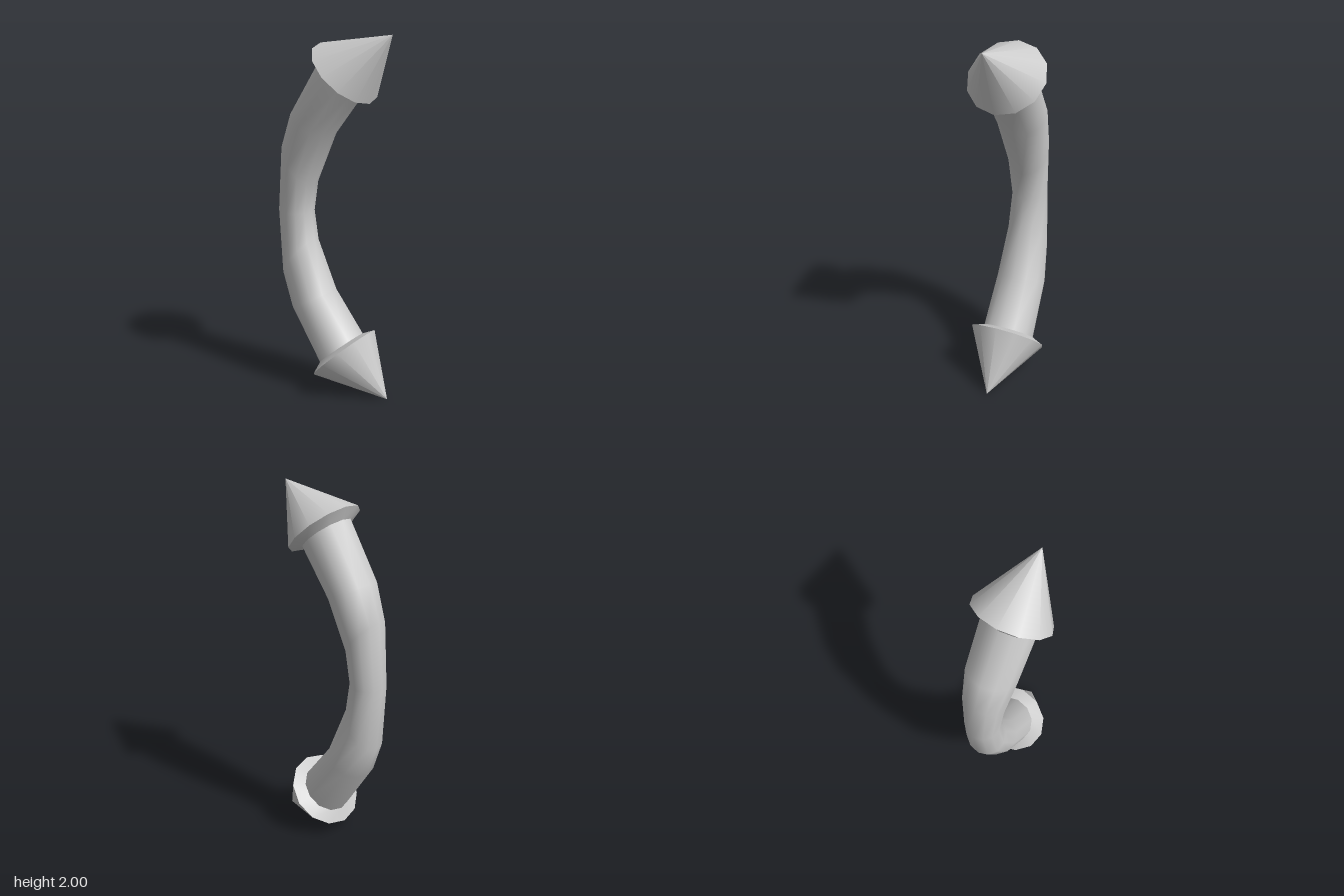
import * as THREE from 'three';

const SIDES = 12;
const material = new THREE.MeshStandardMaterial({ color: 0xcccccc });

// Skin elliptical rings ordered from low to high.
// Each ring: [outer x, outer y, inner x, inner y, half depth in z]
function loft(name, rings) {
  const pos = [], index = [];
  for (const [lx, ly, rx, ry, depth] of rings) {
    for (let j = 0; j < SIDES; j++) {
      const a = (j / SIDES) * Math.PI * 2, c = Math.cos(a) / 2;
      pos.push((lx + rx) / 2 + c * (rx - lx), (ly + ry) / 2 + c * (ry - ly), depth * Math.sin(a));
    }
  }
  for (let i = 0; i < rings.length - 1; i++) {
    for (let j = 0; j < SIDES; j++) {
      const k = (j + 1) % SIDES;
      const a = i * SIDES + j, b = i * SIDES + k, c = a + SIDES, d = b + SIDES;
      index.push(a, c, b, b, c, d);
    }
  }
  const geo = new THREE.BufferGeometry();
  geo.setAttribute('position', new THREE.Float32BufferAttribute(pos, 3));
  geo.setIndex(index);
  geo.computeVertexNormals();
  const mesh = new THREE.Mesh(geo, material);
  mesh.name = name;
  return mesh;
}

// Mirror rings about y = 1, keeping the low-to-high order
const mirror = (rings) =>
  rings.map(([lx, ly, rx, ry, d]) => [lx, 2 - ly, rx, 2 - ry, d]).reverse();

export function createModel() {
  const group = new THREE.Group();
  group.name = 'curvedDoubleArrow';

  const middle = [-0.355, 1, -0.155, 1, 0.1];
  const joint = [-0.065, 1.862, 0.155, 1.667, 0.147];
  const rim = [-0.09, 1.936, 0.218, 1.639, 0.216];
  const tip = [0.35, 2, 0.35, 2, 0];
  const upper = [
    [-0.325, 1.375, -0.136, 1.155, 0.117],
    [-0.257, 1.56, -0.02, 1.44, 0.14],
    joint,
  ];

  // Bent shaft, thinnest in the middle
  group.add(loft('shaft', [...mirror(upper), middle, ...upper]));

  // Arrowheads: pointed cone and shallow back face, with a sharp rim
  const cone = [rim, tip], back = [joint, rim];
  group.add(loft('upperHeadCone', cone), loft('upperHeadBack', back));
  group.add(loft('lowerHeadCone', mirror(cone)), loft('lowerHeadBack', mirror(back)));
  return group;
}
